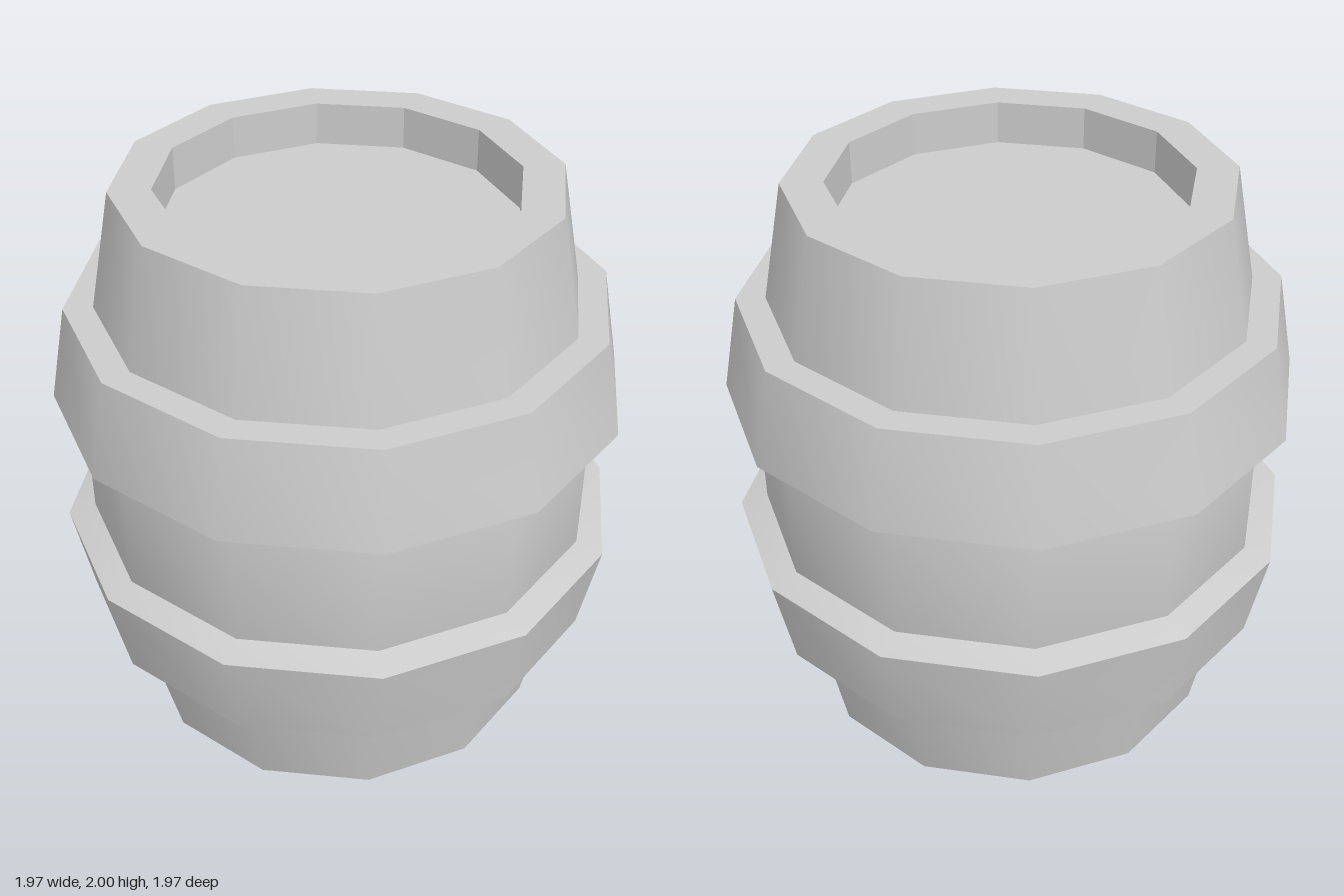
import * as THREE from 'three';
import { toCreasedNormals } from 'three/addons/utils/BufferGeometryUtils.js';

const SIDES = 12;
const smooth = new THREE.MeshStandardMaterial({ color: 0xcccccc });
const faceted = new THREE.MeshStandardMaterial({ color: 0xcccccc, flatShading: true });

// Turns a profile of [radius, height] pairs, listed so the outside lies on its right
function turned(name, profile, material) {
  const points = profile.map(([r, y]) => new THREE.Vector2(r, y));
  const lathe = new THREE.LatheGeometry(points, SIDES);
  const geometry = material === smooth ? toCreasedNormals(lathe, 0.7) : lathe;
  const mesh = new THREE.Mesh(geometry, material);
  mesh.name = name;
  return mesh;
}

// Mirrors a profile about mid height, keeping its outside
const flipped = (profile) => profile.map(([r, y]) => [r, 2 - y]).reverse();

export function createModel() {
  const group = new THREE.Group();
  group.name = 'barrel';

  // Bulging staves with a flat rim at each end
  const lowerBody = [[0.6, 0], [0.74, 0], [0.82, 0.41], [0.89, 0.77]];
  group.add(turned('body', [...lowerBody, ...flipped(lowerBody)], smooth));

  // Sunken end lids with faceted inner walls
  const lid = [[0, 0.15], [0.6, 0.15], [0.6, 0]];
  group.add(turned('bottomLid', lid, faceted));
  group.add(turned('topLid', flipped(lid), faceted));

  // Raised hoops, bevelled toward the middle
  const hoop = [[0.82, 0.41], [0.92, 0.41], [0.985, 0.745], [0.89, 0.775]];
  group.add(turned('lowerHoop', hoop, smooth));
  group.add(turned('upperHoop', flipped(hoop), smooth));

  return group;
}
